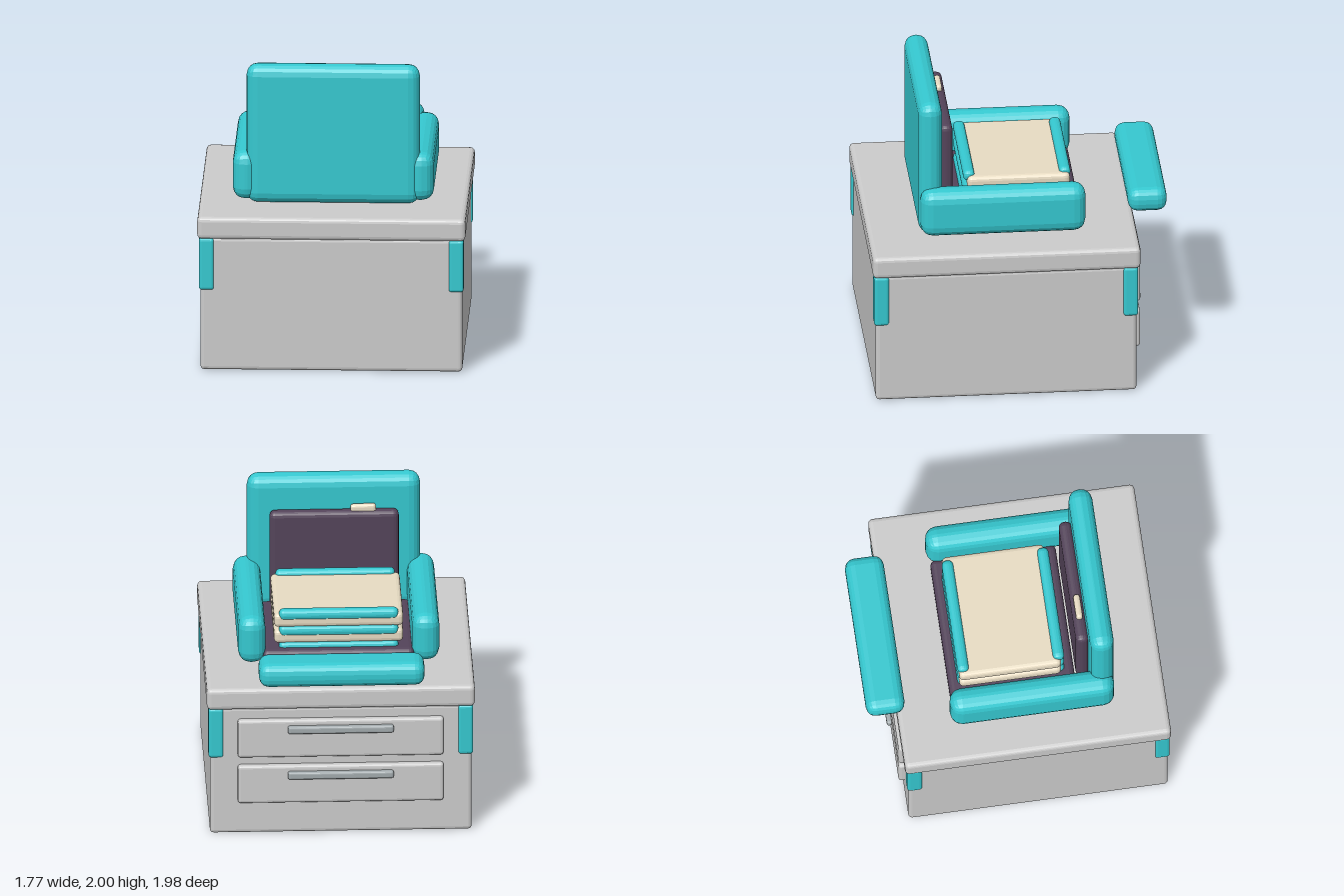
import * as THREE from 'three';
import { RoundedBoxGeometry } from 'three/addons/geometries/RoundedBoxGeometry.js';

const material = (color) => new THREE.MeshStandardMaterial({ color, flatShading: true });

export function createModel() {
  const grey = material(0xcccccc);
  const metal = material(0xa2aaad);
  const teal = material(0x35c8d0);
  const plum = material(0x54445a);
  const cream = material(0xe8dcc3);

  const model = new THREE.Group();
  model.name = 'armchairOnCabinet';

  // Bevelled block from its [min, max] extents along each axis
  function block(parent, name, mat, [x0, x1], [y0, y1], [z0, z1], radius) {
    const geometry = new RoundedBoxGeometry(x1 - x0, y1 - y0, z1 - z0, 2, radius);
    const mesh = new THREE.Mesh(geometry, mat);
    mesh.name = name;
    mesh.position.set((x0 + x1) / 2, (y0 + y1) / 2, (z0 + z1) / 2);
    parent.add(mesh);
    return mesh;
  }

  function group(name) {
    const g = new THREE.Group();
    g.name = name;
    model.add(g);
    return g;
  }

  // Cabinet with overhanging top
  const cabinet = group('cabinet');
  block(cabinet, 'cabinetBody', grey, [-0.867, 0.863], [0, 0.91], [-0.76, 0.97], 0.025);
  block(cabinet, 'cabinetTop', grey, [-0.888, 0.884], [0.9, 1.05], [-0.785, 0.99], 0.03);

  // Corner guards under the top
  for (const x of [-0.827, 0.823]) {
    for (const z of [-0.72, 0.932]) {
      block(cabinet, 'cornerGuard', teal, [x - 0.05, x + 0.05], [0.55, 0.905], [z - 0.05, z + 0.05], 0.02);
    }
  }

  // Two drawers at the back, each with a bar handle
  for (const y of [0.365, 0.695]) {
    block(cabinet, 'drawerFront', grey, [-0.68, 0.68], [y - 0.135, y + 0.135], [-0.8, -0.74], 0.02);
    block(cabinet, 'drawerHandle', metal, [-0.35, 0.35], [y + 0.045, y + 0.097], [-0.832, -0.785], 0.015);
  }

  // Chair shell: backrest and two arms
  const chair = group('chair');
  block(chair, 'backrest', teal, [-0.575, 0.57], [1.05, 2], [0.5, 0.658], 0.075);
  for (const x of [-0.577, 0.573]) {
    block(chair, 'armrest', teal, [x - 0.09, x + 0.09], [1.07, 1.4], [-0.445, 0.65], 0.08);
  }

  // Dark upholstery
  block(chair, 'seatBase', plum, [-0.5, 0.5], [1.04, 1.16], [-0.425, 0.41], 0.035);
  block(chair, 'backCushion', plum, [-0.43, 0.425], [1.08, 1.78], [0.42, 0.505], 0.037);
  const tab = block(chair, 'cushionTab', cream, [-0.28, -0.11], [1.755, 1.82], [0.442, 0.486], 0.02);
  tab.rotation.z = -0.03;

  // Stacked seat pads with piping bars along the front and rear edges
  const stack = group('seatPads');
  for (const y of [1.235, 1.35]) {
    block(stack, 'seatPad', cream, [-0.43, 0.425], [y - 0.05, y + 0.045], [-0.358, 0.322], 0.03);
  }
  for (const y of [1.157, 1.272, 1.387]) {
    for (const z of [-0.327, 0.309]) {
      block(stack, 'padPiping', teal, [-0.398, 0.392], [y - 0.037, y + 0.037], [z - 0.038, z + 0.038], 0.032);
    }
  }

  // Detached footrest bolster
  block(model, 'footrest', teal, [-0.55, 0.545], [1.14, 1.303], [-0.993, -0.735], 0.065);

  return model;
}
